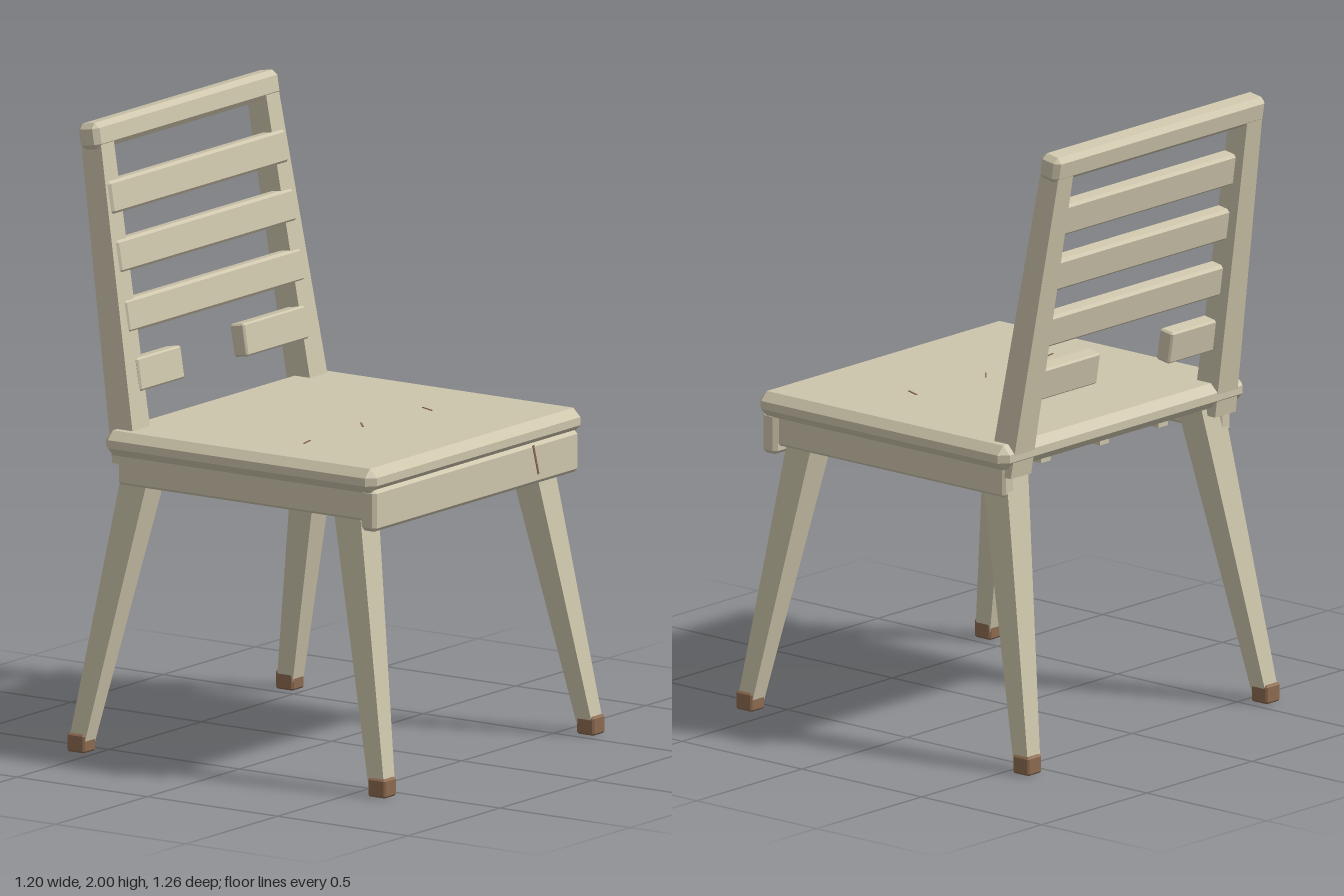
import * as THREE from 'three';
import { ConvexGeometry } from 'three/addons/geometries/ConvexGeometry.js';

const mat = (name, color) => {
  const m = new THREE.MeshStandardMaterial({ color });
  m.name = name;
  return m;
};

// Box with chamfered edges
function chamferBox(w, h, d, b) {
  const pts = [];
  for (const sx of [-1, 1]) for (const sy of [-1, 1]) for (const sz of [-1, 1]) {
    const [x, y, z] = [sx * w / 2, sy * h / 2, sz * d / 2];
    const [bx, by, bz] = [x - sx * b, y - sy * b, z - sz * b];
    pts.push(new THREE.Vector3(x, by, bz), new THREE.Vector3(bx, y, bz), new THREE.Vector3(bx, by, z));
  }
  return new ConvexGeometry(pts);
}

// Slanted, tapering square beam with level ends; each end is [x, y, z, width, depth]
function beam(lo, hi) {
  const g = new THREE.BoxGeometry(1, 1, 1).toNonIndexed();
  const p = g.attributes.position;
  for (let i = 0; i < p.count; i++) {
    const e = p.getY(i) > 0 ? hi : lo;
    p.setXYZ(i, e[0] + p.getX(i) * e[3], e[1], e[2] + p.getZ(i) * e[4]);
  }
  g.computeVertexNormals();
  return g;
}

export function createModel() {
  const group = new THREE.Group();
  group.name = 'chair';
  const wood = mat('paleWood', 0xcdc5ab);
  const brown = mat('brownWood', 0x8c6a50);
  const add = (name, geo, m, x = 0, y = 0, z = 0) => {
    const mesh = new THREE.Mesh(geo, m);
    mesh.name = name;
    mesh.position.set(x, y, z);
    group.add(mesh);
    return mesh;
  };

  // Seat, aprons and the battens beneath
  add('seat', chamferBox(1.16, 0.08, 1.04, 0.027), wood, 0, 1.0, 0.045);
  add('frontApron', chamferBox(1.112, 0.135, 0.06, 0.012), wood, 0, 0.905, 0.53);
  for (const s of [-1, 1])
    add('sideApron', chamferBox(0.05, 0.11, 0.95, 0.008), wood, s * 0.515, 0.92, 0.035);
  for (const x of [-0.28, 0, 0.28])
    add('batten', new THREE.BoxGeometry(0.045, 0.05, 0.82), wood, x, 0.945, 0.025);

  // Splayed legs with brown feet, and leaning back posts
  for (const s of [-1, 1]) {
    for (const [name, z0, z1] of [['front', 0.595, 0.412], ['back', -0.56, -0.372]]) {
      add(name + 'Leg', beam([s * 0.567, 0.02, z0, 0.058, 0.06], [s * 0.463, 0.97, z1, 0.105, 0.105]), wood);
      add(name + 'Foot', chamferBox(0.066, 0.06, 0.068, 0.006), brown, s * 0.567, 0.03, z0);
    }
    add('backPost', beam([s * 0.486, 0.93, -0.417, 0.098, 0.092], [s * 0.448, 1.95, -0.584, 0.07, 0.076]), wood);
  }

  // Back rails follow the lean of the posts
  const lean = -0.163;
  const rail = (name, x0, x1, y, h, d, b, forward) => {
    const z = -0.417 - (y - 0.93) * 0.1637 + forward;
    add(name, chamferBox(x1 - x0, h, d, b), wood, (x0 + x1) / 2, y, z).rotation.x = lean;
  };
  rail('topRail', -0.5, 0.5, 1.953, 0.085, 0.08, 0.017, 0);
  for (const y of [1.76, 1.575, 1.387]) rail('backSlat', -0.48, 0.48, y, 0.105, 0.055, 0.009, 0.02);
  rail('brokenSlatRight', -0.462, -0.222, 1.202, 0.105, 0.055, 0.006, 0.023);
  rail('brokenSlatLeft', 0.118, 0.455, 1.21, 0.105, 0.055, 0.006, 0.023);

  // Scratches on the seat, as [x0, z0, x1, z1]
  for (const [x0, z0, x1, z1] of [[-0.37, 0.155, -0.32, 0.145], [-0.06, 0.163, -0.02, 0.128], [0.26, 0.203, 0.28, 0.153]]) {
    const len = Math.hypot(x1 - x0, z1 - z0);
    add('seatScratch', new THREE.BoxGeometry(len, 0.004, 0.006), brown, (x0 + x1) / 2, 1.04, (z0 + z1) / 2)
      .rotation.y = -Math.atan2(z1 - z0, x1 - x0);
  }
  // Crack on the front apron
  add('apronCrack', new THREE.BoxGeometry(0.008, 0.1, 0.004), brown, 0.317, 0.917, 0.56).rotation.z = 0.29;

  return group;
}
